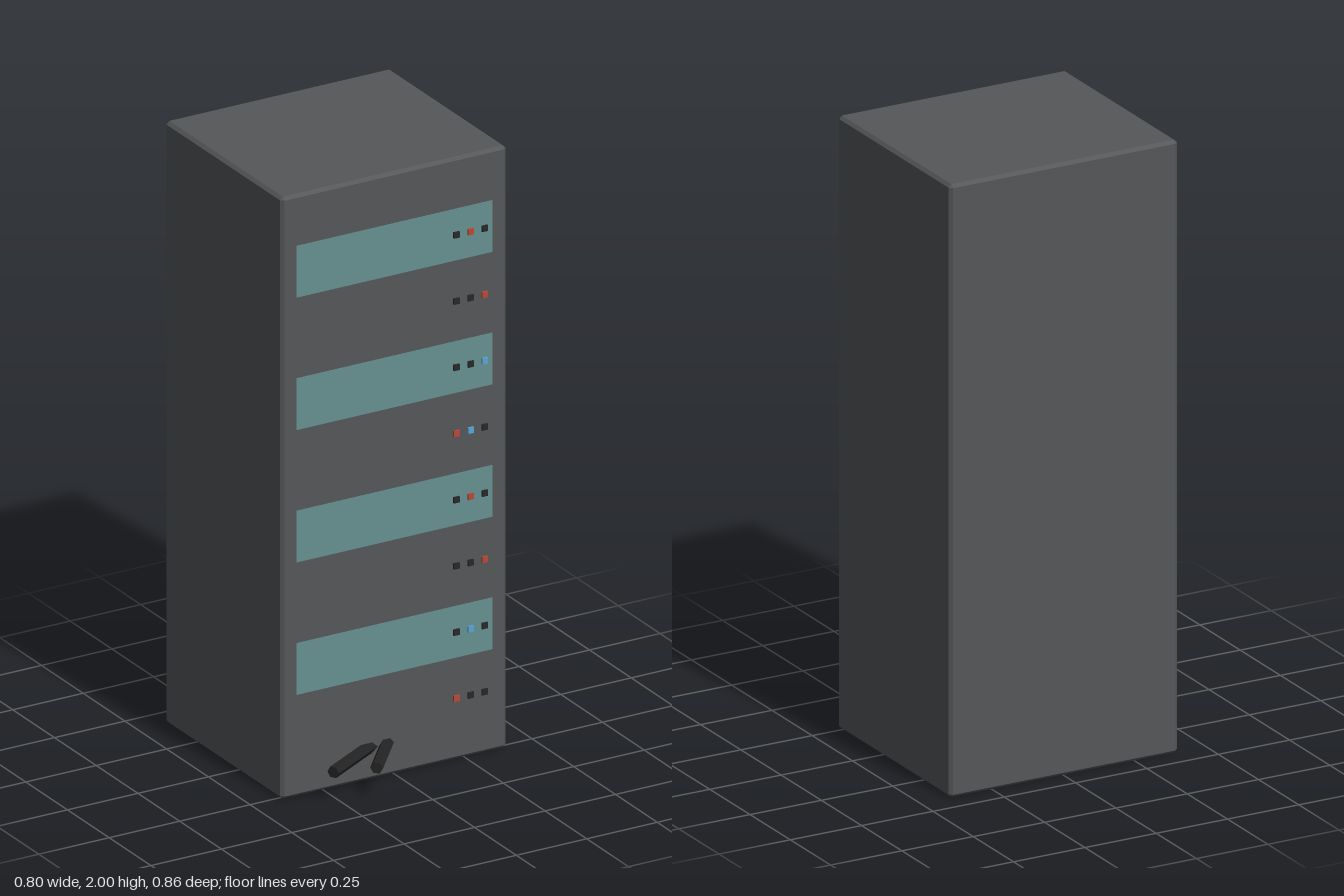
import * as THREE from 'three';
import { ConvexGeometry } from 'three/addons/geometries/ConvexGeometry.js';

const paint = (color) => new THREE.MeshStandardMaterial({ color });

// Box with every edge cut by one flat chamfer
function chamferedBox(w, h, d, c) {
  const points = [];
  for (const sx of [-1, 1]) for (const sy of [-1, 1]) for (const sz of [-1, 1]) {
    for (const [a, b, e] of [[0, c, c], [c, 0, c], [c, c, 0]]) {
      points.push(new THREE.Vector3(sx * (w / 2 - a), sy * (h / 2 - b), sz * (d / 2 - e)));
    }
  }
  return new ConvexGeometry(points);
}

export function createModel() {
  const model = new THREE.Group();
  model.name = 'serverCabinet';
  const front = 0.27;

  const add = (name, geometry, material, x, y, z) => {
    const mesh = new THREE.Mesh(geometry, material);
    mesh.name = name;
    mesh.position.set(x, y, z);
    model.add(mesh);
    return mesh;
  };

  // Cabinet body
  add('cabinet', chamferedBox(0.8, 2, 0.7, 0.01), paint(0x555759), 0, 1, front - 0.35);

  // Teal panels set almost flush in the front
  const panelGeometry = new THREE.BoxGeometry(0.695, 0.172, 0.02);
  const panelMaterial = paint(0x669090);
  for (let i = 0; i < 4; i++) {
    add('panel', panelGeometry, panelMaterial, 0, 0.425 + i * 0.44, front - 0.009);
  }

  // Rows of three indicator lights, bottom to top: k = off, r = red, b = blue
  const lightGeometry = new THREE.BoxGeometry(0.02, 0.02, 0.006);
  const lights = { k: paint(0x282828), r: paint(0xb84a38), b: paint(0x5aa5d6) };
  ['rkk', 'kbk', 'kkr', 'krk', 'rbk', 'kkb', 'kkr', 'krk'].forEach((row, i) => {
    [...row].forEach((key, j) => {
      add('indicatorLight', lightGeometry, lights[key], 0.218 + j * 0.05, 0.205 + i * 0.22, front + 0.004);
    });
  });

  // Two six-sided cable stubs leaving the foot of the front
  const length = 0.3;
  const cableGeometry = new THREE.CylinderGeometry(0.02, 0.02, length, 6).rotateZ(Math.PI / 2);
  const cableMaterial = paint(0x242424);
  cableMaterial.flatShading = true;
  for (const [x, z, degrees] of [[-0.279, 0.374, 30], [-0.148, 0.413, 50]]) {
    const angle = THREE.MathUtils.degToRad(degrees);
    const cable = add('cable', cableGeometry, cableMaterial,
      x + Math.cos(angle) * length / 2, 0.105, z - Math.sin(angle) * length / 2);
    cable.rotation.y = angle;
  }

  return model;
}
